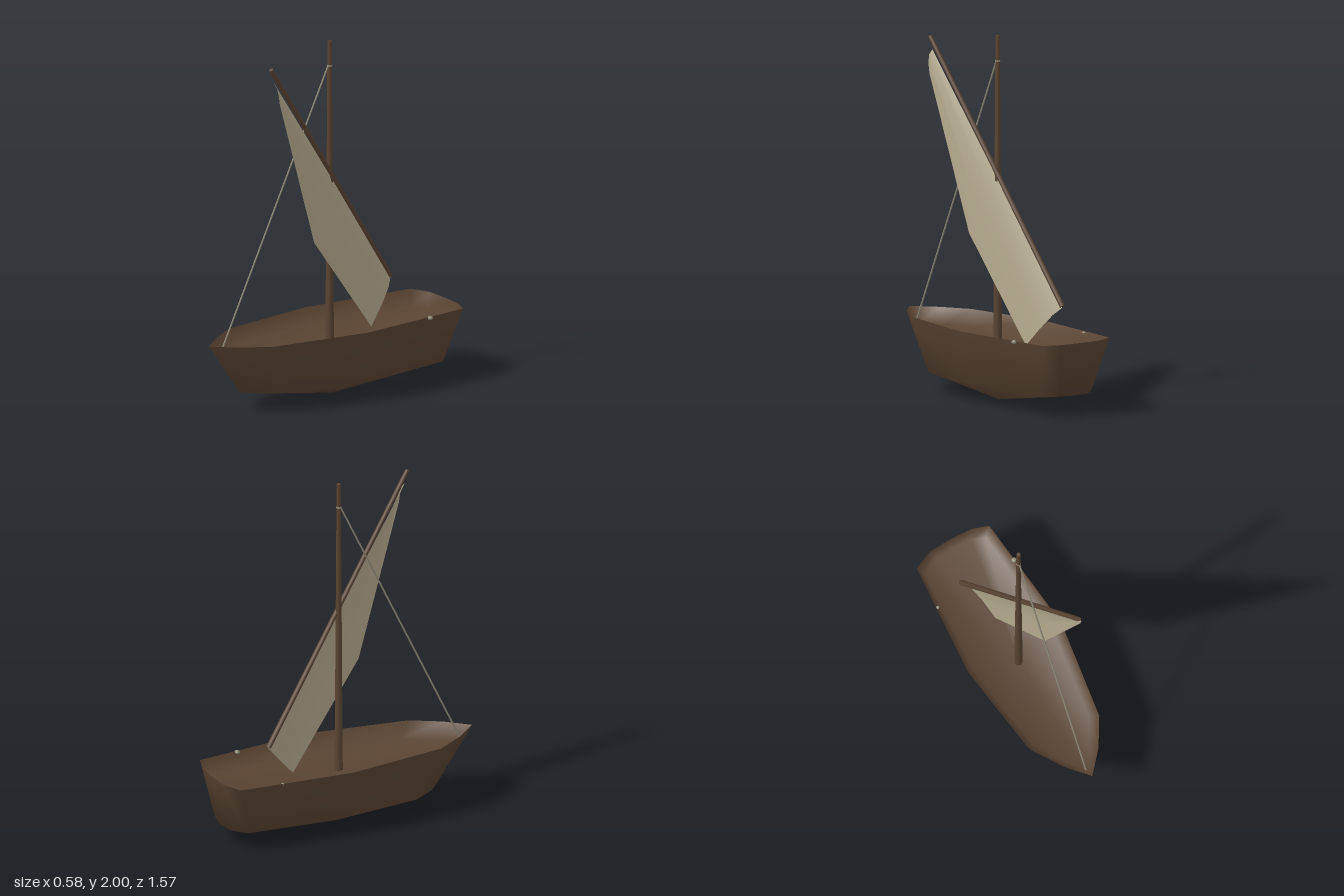
import * as THREE from 'three';

const V = (x, y, z) => new THREE.Vector3(x, y, z);

// Smooth surface from points and triangle indices
function surface(points, index) {
  const geo = new THREE.BufferGeometry().setFromPoints(points);
  geo.setIndex(index);
  geo.computeVertexNormals();
  return geo;
}

// Skin two closed rings and close the second with a fan to a centre point
function shell(upper, lower, centre, inward) {
  const n = upper.length;
  const index = [];
  const face = (a, b, c) => index.push(...(inward ? [a, c, b] : [a, b, c]));
  for (let i = 0; i < n; i++) {
    const j = (i + 1) % n;
    face(i, n + i, n + j);
    face(i, n + j, j);
    face(n + i, 2 * n, n + j);
  }
  return surface([...upper, ...lower, centre], index);
}

// Tapered round bar between two points
function bar(name, from, to, r0, r1, sides, material) {
  const dir = to.clone().sub(from);
  const mesh = new THREE.Mesh(new THREE.CylinderGeometry(r1, r0, dir.length(), sides), material);
  mesh.position.copy(from).add(to).multiplyScalar(0.5);
  mesh.quaternion.setFromUnitVectors(V(0, 1, 0), dir.normalize());
  mesh.name = name;
  return mesh;
}

export function createModel() {
  const model = new THREE.Group();
  model.name = 'sailboat';
  const wood = new THREE.MeshStandardMaterial({ color: 0x5a4432 });
  wood.name = 'dark wood';
  const canvas = new THREE.MeshStandardMaterial({ color: 0xb5aa8e, side: THREE.DoubleSide });
  canvas.name = 'canvas';
  const ropeMat = new THREE.MeshStandardMaterial({ color: 0x8f8b78 });
  ropeMat.name = 'rope';
  const add = (name, geo, mat) => {
    const mesh = new THREE.Mesh(geo, mat);
    mesh.name = name;
    model.add(mesh);
    return mesh;
  };

  // Hull: gunwale ring, chine ring and keel point, [x, z] from bow round to stern and back
  const rim = [[0, 0.785], [0.11, 0.66], [0.205, 0.5], [0.29, -0.07], [0.225, -0.75], [0.135, -0.782],
    [0, -0.787], [-0.13, -0.78], [-0.24, -0.73], [-0.292, -0.07], [-0.21, 0.5], [-0.11, 0.66]];
  const chineHalf = [[0, 0.58], [0.09, 0.5], [0.17, 0.37], [0.212, -0.05], [0.175, -0.65], [0.1, -0.72], [0, -0.737]];
  const chine = [...chineHalf, ...chineHalf.slice(1, -1).reverse().map(([x, z]) => [-x, z])];
  const ring = (pts, y) => pts.map(([x, z]) => V(x, y, z));
  add('hull', shell(ring(rim, 0.407), ring(chine, 0.112), V(0, 0, -0.04), false), wood);

  // Sloping inner walls and floor
  const floor = rim.map(([x, z]) => [x * 0.84, z * 0.93 - 0.03]);
  add('hullInside', shell(ring(rim, 0.407), ring(floor, 0.32), V(0, 0.3, -0.03), true), wood);

  // Mast and slanted yard
  model.add(bar('mast', V(-0.004, 0.27, -0.023), V(-0.004, 2, -0.023), 0.024, 0.012, 8, wood));
  const yardLow = V(-0.097, 0.56, -0.492), yardHigh = V(0.108, 1.948, 0.447);
  model.add(bar('yard', yardLow, yardHigh, 0.015, 0.012, 8, wood));

  // Forestay with a knot at the masthead
  model.add(bar('forestay', V(-0.004, 1.86, -0.012), V(0, 0.34, 0.715), 0.005, 0.005, 6, ropeMat));
  const knots = [[-0.004, 1.86, -0.023, 0.015], [0.246, 0.4, -0.515, 0.016], [-0.25, 0.4, -0.48, 0.01]];
  for (const [x, y, z, r] of knots) {
    const knot = add('knot', new THREE.SphereGeometry(r, 8, 6), ropeMat);
    knot.position.set(x, y, z);
    knot.scale.y = 0.7;
  }

  // Sail: strips from the yard edge to the free edge, slightly bellied
  const head = [V(-0.095, 0.555, -0.494), V(0.006, 1.22, -0.03), V(0.104, 1.875, 0.43)];
  const leech = [V(0.005, 0.33, -0.295), V(0.073, 0.9, 0.135), V(0.138, 1.75, 0.41)];
  const rows = [[0, 0], [0.2, 0.018], [0.55, 0.016], [1, 0]];
  const points = [], index = [];
  rows.forEach(([t, belly], r) => head.forEach((h, c) => {
    const p = h.clone().lerp(leech[c], t);
    p.x += belly;
    points.push(p);
    if (r < rows.length - 1 && c < head.length - 1) {
      const a = r * 3 + c;
      index.push(a, a + 1, a + 3, a + 1, a + 4, a + 3);
    }
  }));
  add('sail', surface(points, index), canvas);

  return model;
}
